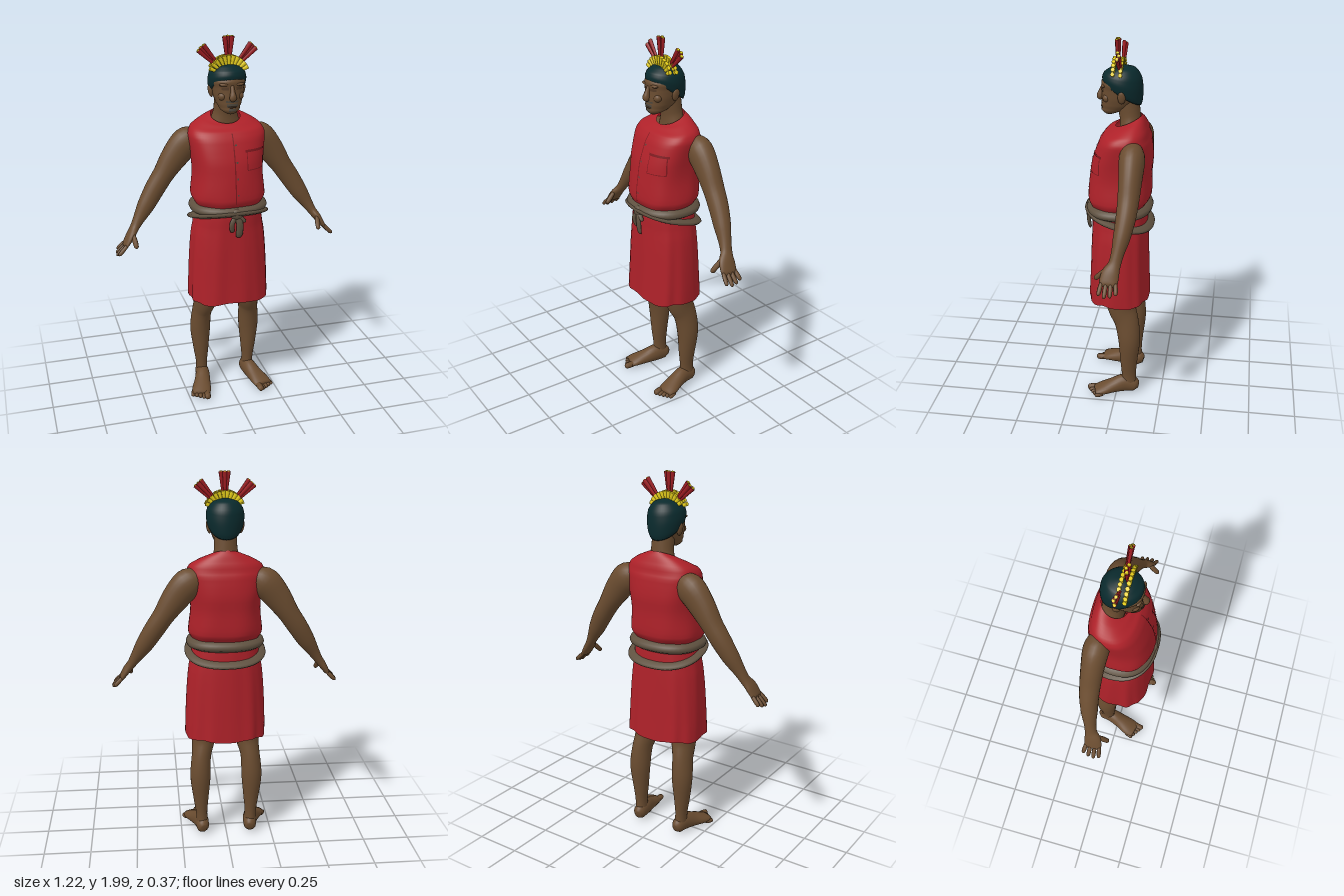
import * as THREE from 'three';

const mat = (name, color, side = THREE.FrontSide) => {
  const m = new THREE.MeshStandardMaterial({ color, side });
  m.name = name;
  return m;
};

export function createModel() {
  const model = new THREE.Group();
  model.name = 'robedFigure';
  const skin = mat('skin', 0x6a4c30), darkSkin = mat('darkSkin', 0x523a26);
  const red = mat('redCloth', 0xae2129, THREE.DoubleSide), seam = mat('darkRedSeam', 0x7d171d, THREE.DoubleSide);
  const hairMat = mat('hair', 0x0a2a2d), sash = mat('sash', 0x5f5140, THREE.DoubleSide);
  const yellow = mat('yellow', 0xe6cf1c), feather = mat('redFeather', 0x9c1c22);
  const beard = mat('greyBeard', 0x4d473d, THREE.DoubleSide);

  const add = (name, geo, material, parent = model) => {
    const m = new THREE.Mesh(geo, material);
    m.name = name;
    parent.add(m);
    return m;
  };

  // Smooth skin through oval sections [x, y, z, halfWidth, halfDepth, squareness]
  function loft(sections, { n = 24, steps = 4, ref = [0, 0, 1], flat = false, open = false, shape } = {}) {
    const path = new THREE.CatmullRomCurve3(sections.map(s => new THREE.Vector3(s[0], s[1], s[2])));
    const size = new THREE.CatmullRomCurve3(sections.map(s => new THREE.Vector3(s[3], s[4], s[5] || 2)));
    const rows = (sections.length - 1) * steps, pos = [], idx = [];
    const power = (c, p) => Math.sign(c) * Math.abs(c) ** (2 / p);
    for (let j = 0; j <= rows; j++) {
      const t = j / rows, c = path.getPoint(t), s = size.getPoint(t);
      const dir = flat ? new THREE.Vector3(0, 1, 0) : path.getTangent(t);
      const v = new THREE.Vector3(...ref).addScaledVector(dir, -dir.dot(new THREE.Vector3(...ref))).normalize();
      const u = dir.clone().cross(v);
      for (let i = 0; i < n; i++) {
        const a = i / n * Math.PI * 2;
        const p = c.clone().addScaledVector(u, Math.max(s.x, 0.001) * power(Math.cos(a), s.z))
          .addScaledVector(v, Math.max(s.y, 0.001) * power(Math.sin(a), s.z));
        if (shape) shape(p, a, t);
        pos.push(p.x, p.y, p.z);
        if (j < rows) {
          const k = j * n + i, r = j * n + (i + 1) % n;
          idx.push(k, k + n, r, k + n, r + n, r);
        }
      }
    }
    if (!open) {
      for (const row of [0, rows]) {
        const mid = [0, 0, 0], centre = pos.length / 3;
        for (let i = 0; i < n; i++) for (let k = 0; k < 3; k++) mid[k] += pos[(row * n + i) * 3 + k] / n;
        pos.push(...mid);
        for (let i = 0; i < n; i++) {
          const a = row * n + i, b = row * n + (i + 1) % n;
          row ? idx.push(centre, b, a) : idx.push(centre, a, b);
        }
      }
    }
    const g = new THREE.BufferGeometry();
    g.setAttribute('position', new THREE.Float32BufferAttribute(pos, 3));
    g.setIndex(idx);
    g.computeVertexNormals();
    return g;
  }

  // Rounded digit between two points
  const digit = (a, b, r) => {
    const at = (t, k) => [...a.map((v, i) => v + (b[i] - v) * t), r * k, r * k];
    return loft([at(0, 0.8), at(0.5, 1), at(0.9, 0.85), at(1, 0.3)], { n: 8, steps: 2 });
  };
  const blob = (name, material, at, scale) => {
    const m = add(name, new THREE.SphereGeometry(1, 16, 12), material);
    m.position.set(...at);
    m.scale.set(...scale);
    return m;
  };
  // Thin patch laid on the front of a mesh
  const drape = (name, target, x, y, w, h, material) => {
    const g = new THREE.PlaneGeometry(w, h, 6, 10).translate(x + 0.0004, y, 0);
    const p = g.attributes.position, ray = new THREE.Raycaster();
    for (let i = 0; i < p.count; i++) {
      ray.set(new THREE.Vector3(p.getX(i), p.getY(i), 1), new THREE.Vector3(0, 0, -1));
      const hit = ray.intersectObject(target)[0];
      p.setZ(i, (hit ? hit.point.z : 0.08) + 0.003);
    }
    g.computeVertexNormals();
    return add(name, g, material);
  };

  // Sleeveless shirt, bloused over the waist, with a collar that dips in front
  const shirt = add('shirt', loft([
    [0, 1.09, 0, 0.172, 0.14, 2.3], [0, 1.13, 0.005, 0.18, 0.148, 2.3], [0, 1.17, 0, 0.196, 0.166, 2.4],
    [0, 1.29, -0.007, 0.184, 0.161, 2.5], [0, 1.4, -0.02, 0.193, 0.152, 2.6], [0, 1.48, -0.03, 0.203, 0.133, 2.6],
    [0, 1.527, -0.038, 0.188, 0.11, 2.5], [0, 1.562, -0.045, 0.13, 0.083, 2.2], [0, 1.578, -0.045, 0.078, 0.068]
  ], {
    n: 64, flat: true, open: true, shape: (p, a, t) => {
      const f = 1 + 0.012 * Math.sin(7 * a + 9 * t) * Math.max(0, 1 - t * 1.5);
      p.x *= f; p.z *= f;
      p.y -= (p.z + 0.045) * 0.45 * Math.max(0, (t - 0.7) / 0.3);
    }
  }), red);
  drape('placketSeam', shirt, 0, 1.33, 0.006, 0.36, seam);
  drape('pocketFlap', shirt, 0.115, 1.422, 0.11, 0.012, seam);
  for (const x of [0.068, 0.162]) drape('pocketSide', shirt, x, 1.37, 0.004, 0.09, seam);
  drape('pocketBottom', shirt, 0.115, 1.325, 0.095, 0.004, seam);
  for (let i = 0; i < 4; i++) drape('button', shirt, 0.012, 1.2 + i * 0.085, 0.009, 0.009, beard);

  // Skirt with soft folds widening to the hem
  add('skirt', loft([
    [0, 0.578, -0.002, 0.215, 0.163, 2.6], [0, 0.7, -0.002, 0.213, 0.158, 2.5], [0, 0.88, -0.002, 0.204, 0.152, 2.4],
    [0, 1.0, -0.002, 0.189, 0.147, 2.3], [0, 1.07, 0, 0.178, 0.145, 2.3], [0, 1.13, 0, 0.17, 0.138, 2.3]
  ], {
    n: 80, flat: true, open: true, shape: (p, a, t) => {
      const f = 1 + (1 - t) * (0.016 * Math.cos(9 * a + 2 * t) + 0.012 * Math.sin(14 * a));
      p.x *= f; p.z *= f;
      p.y += (1 - t) * 0.006 * Math.sin(5 * a);
    }
  }), red);

  // Sash: level upper band and a lower strand that sags at the back
  const band = (name, y, h, grow, drop) => add(name, loft([
    [0, y - h, 0, 0.17 + grow, 0.137 + grow, 2.3], [0, y - h * 0.8, 0, 0.184 + grow, 0.151 + grow, 2.3],
    [0, y + h * 0.8, 0, 0.184 + grow, 0.151 + grow, 2.3], [0, y + h, 0, 0.17 + grow, 0.137 + grow, 2.3]
  ], { n: 48, flat: true, open: true, shape: p => { p.y -= drop * (0.15 - p.z); } }), sash);
  band('upperSash', 1.105, 0.03, 0.003, 0);
  band('lowerSash', 1.095, 0.017, 0.012, 0.28);
  blob('sashKnot', sash, [0.005, 1.095, 0.163], [0.034, 0.03, 0.018]);
  for (const [x, y, w] of [[-0.022, 1.0, 0.014], [0.018, 0.968, 0.019]]) {
    add('sashTail', loft([[0, 1.09, 0.163, 0.013, 0.009], [x, 1.05, 0.17, w, 0.01],
      [x, y + 0.02, 0.165, w, 0.009], [x * 0.8, y, 0.16, w * 0.7, 0.006]], { n: 12 }), sash);
  }
  add('sashLoop', digit([0.01, 1.095, 0.165], [0.05, 1.05, 0.165], 0.012), sash);

  // Neck and head
  add('neck', loft([[0, 1.49, -0.055, 0.1, 0.06], [0, 1.56, -0.055, 0.074, 0.056], [0, 1.61, -0.05, 0.06, 0.055],
    [0, 1.7, -0.035, 0.058, 0.06]]), skin);
  const head = add('head', loft([
    [0, 1.608, 0.055, 0.018, 0.02], [0, 1.622, 0.045, 0.042, 0.045], [0, 1.655, 0.018, 0.063, 0.076, 2.2],
    [0, 1.7, 0, 0.077, 0.094, 2.2], [0, 1.75, -0.006, 0.084, 0.097, 2.2], [0, 1.79, -0.01, 0.084, 0.098],
    [0, 1.825, -0.012, 0.07, 0.08], [0, 1.845, -0.012, 0.02, 0.02]
  ], { n: 32, flat: true }), skin);
  add('hair', loft([
    [0, 1.728, -0.012, 0.084, 0.096], [0, 1.74, -0.013, 0.093, 0.102], [0, 1.775, -0.013, 0.099, 0.104],
    [0, 1.812, -0.014, 0.092, 0.097], [0, 1.846, -0.014, 0.062, 0.066], [0, 1.861, -0.014, 0.012, 0.014]
  ], { n: 40, flat: true, shape: (p, a, t) => { p.y += 0.62 * p.z * Math.max(0, 1 - t * 1.3); } }), hairMat);
  add('nose', loft([[0, 1.757, 0.085, 0.009, 0.009], [0, 1.725, 0.096, 0.012, 0.014],
    [0, 1.697, 0.104, 0.019, 0.017], [0, 1.683, 0.096, 0.012, 0.01]], { n: 14 }), skin);
  drape('mouth', head, 0, 1.656, 0.056, 0.018, beard);
  drape('moustache', head, 0, 1.676, 0.066, 0.009, beard);
  drape('chinBeard', head, 0, 1.633, 0.036, 0.014, beard);
  blob('lowerLip', darkSkin, [0, 1.648, 0.092], [0.022, 0.005, 0.008]);
  for (const s of [1, -1]) {
    blob('brow', skin, [0.036 * s, 1.762, 0.079], [0.03, 0.009, 0.014]);
    drape('eyeSocket', head, 0.036 * s, 1.742, 0.034, 0.014, darkSkin);
    blob('cheek', skin, [0.043 * s, 1.7, 0.062], [0.024, 0.022, 0.022]);
    blob('ear', skin, [0.086 * s, 1.715, -0.018], [0.012, 0.034, 0.02]).rotation.z = -0.2 * s;
  }

  // Limbs, mirrored
  for (const s of [1, -1]) {
    const side = s > 0 ? 'left' : 'right';
    const m = list => list.map(([x, ...rest]) => [x * s, ...rest]);
    add(side + 'Arm', loft(m([
      [0.13, 1.475, -0.08, 0.045, 0.045], [0.2, 1.435, -0.087, 0.08, 0.066], [0.265, 1.36, -0.088, 0.072, 0.06],
      [0.33, 1.265, -0.086, 0.056, 0.054], [0.38, 1.19, -0.08, 0.053, 0.05], [0.43, 1.11, -0.067, 0.046, 0.043],
      [0.475, 1.04, -0.052, 0.031, 0.032], [0.5, 1.0, -0.042, 0.024, 0.032], [0.527, 0.962, -0.026, 0.021, 0.045],
      [0.553, 0.922, -0.019, 0.015, 0.046], [0.564, 0.908, -0.018, 0.006, 0.036]])), skin);
    for (let i = 0; i < 4; i++) {
      const k = Math.abs(i - 1.3) * 0.008;
      add(side + 'Finger', digit([0.55 * s, 0.925, 0.015 - i * 0.023],
        [(0.609 - k) * s, 0.862 + k * 1.3, 0.025 - i * 0.029], 0.0115), skin);
    }
    add(side + 'Thumb', digit([0.515 * s, 0.975, 0.0], [0.507 * s, 0.918, 0.055], 0.014), skin);
    add(side + 'Leg', loft(m([
      [0.135, 0.035, -0.073, 0.033, 0.042], [0.137, 0.11, -0.069, 0.031, 0.04], [0.14, 0.21, -0.068, 0.042, 0.048],
      [0.142, 0.35, -0.07, 0.056, 0.061], [0.135, 0.46, -0.054, 0.053, 0.067], [0.122, 0.54, -0.026, 0.063, 0.078],
      [0.115, 0.65, -0.012, 0.075, 0.09], [0.1, 0.92, 0, 0.085, 0.1]])), skin);
    add(side + 'Foot', loft(m([
      [0.128, 0.04, -0.121, 0.018, 0.022], [0.132, 0.046, -0.1, 0.034, 0.042], [0.138, 0.054, -0.045, 0.039, 0.052],
      [0.155, 0.041, 0.02, 0.045, 0.04], [0.175, 0.028, 0.08, 0.053, 0.027], [0.184, 0.02, 0.118, 0.048, 0.018]
    ]), { ref: [0, 1, 0] }), skin);
    for (let i = 0; i < 5; i++) {
      const r = i ? 0.0125 : 0.018;
      add(side + 'Toe', digit([(0.15 + i * 0.017) * s, r + 0.006, 0.1 - i * 0.008],
        [(0.158 + i * 0.0185) * s, r, 0.165 - i * 0.013], r), skin);
    }
  }

  // Crest: two rows of yellow pleats and three bunches of red feathers
  const crest = new THREE.Group();
  crest.name = 'crest';
  crest.position.set(0, 1.79, 0);
  model.add(crest);
  const spoke = (name, geo, material, angle, r, z) => {
    const part = add(name, geo, material, crest);
    part.position.set(Math.sin(angle) * r, Math.cos(angle) * r, z);
    part.rotation.z = -angle;
  };
  const pleat = new THREE.CylinderGeometry(0.0125, 0.007, 0.05, 6).scale(1, 1, 0.9);
  for (let i = -5; i <= 5; i++) {
    spoke('frontPleat', pleat, yellow, i * 0.225, 0.085, 0.026);
    spoke('backPleat', pleat, yellow, (i + 0.4) * 0.215, 0.083, -0.012);
  }
  const plume = new THREE.CylinderGeometry(0.0135, 0.008, 0.1, 6).scale(1, 1, 0.8);
  const tip = new THREE.CylinderGeometry(0.008, 0.009, 0.004, 6);
  for (const bunch of [-0.75, 0, 0.75]) {
    for (let i = -1; i <= 1; i++) {
      const a = bunch + i * 0.095, z = bunch ? -0.012 : 0.006;
      spoke('plume', plume, feather, a, 0.152, z + Math.abs(i) * 0.008);
      spoke('plumeTip', tip, yellow, a, 0.2035, z + Math.abs(i) * 0.008);
    }
  }
  return model;
}
